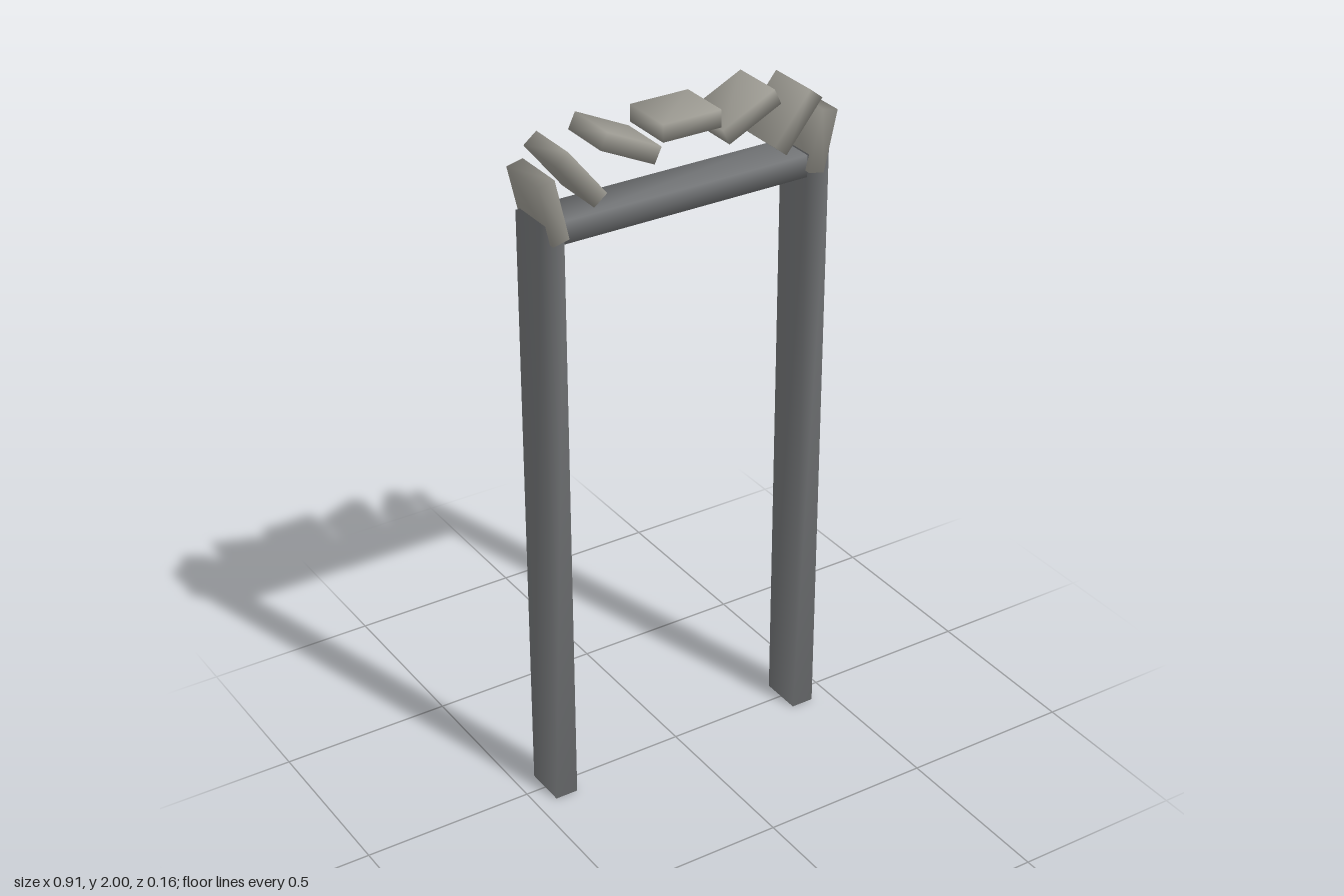
import * as THREE from 'three';
import { mergeVertices } from 'three/addons/utils/BufferGeometryUtils.js';

const frameMaterial = new THREE.MeshStandardMaterial({ color: 0x727476 });
const stoneMaterial = new THREE.MeshStandardMaterial({ color: 0x9c9a92 });

// Box whose corners are shared, so the shading runs softly over its edges
function softBox(name, width, height, depth, material) {
  const box = new THREE.BoxGeometry(width, height, depth);
  box.deleteAttribute('normal');
  box.deleteAttribute('uv');
  const geometry = mergeVertices(box);
  geometry.computeVertexNormals();
  const mesh = new THREE.Mesh(geometry, material);
  mesh.name = name;
  return mesh;
}

export function createModel() {
  const group = new THREE.Group();
  group.name = 'doorFrame';

  // Two upright posts
  for (const side of [-1, 1]) {
    const post = softBox(side > 0 ? 'leftPost' : 'rightPost', 0.068, 1.782, 0.125, frameMaterial);
    post.position.set(side * 0.406, 0.891, 0);
    group.add(post);
  }

  // Crossbar joining the post tops, let into the posts
  const lintel = softBox('lintel', 0.79, 0.063, 0.123, frameMaterial);
  lintel.position.y = 1.749;
  group.add(lintel);

  // Seven separate stones along a flattened arch, each tipped up at its outer end
  const arch = new THREE.Group();
  arch.name = 'archStones';
  for (let i = -3; i <= 3; i++) {
    const angle = (i * Math.PI) / 7;
    const stone = softBox(`archStone${i + 4}`, 0.176, 0.049, 0.157, stoneMaterial);
    stone.position.set(0.42 * Math.sin(angle), 1.778 + 0.18 * Math.cos(angle), 0);
    stone.rotation.z = angle;
    arch.add(stone);
  }
  group.add(arch);

  return group;
}
